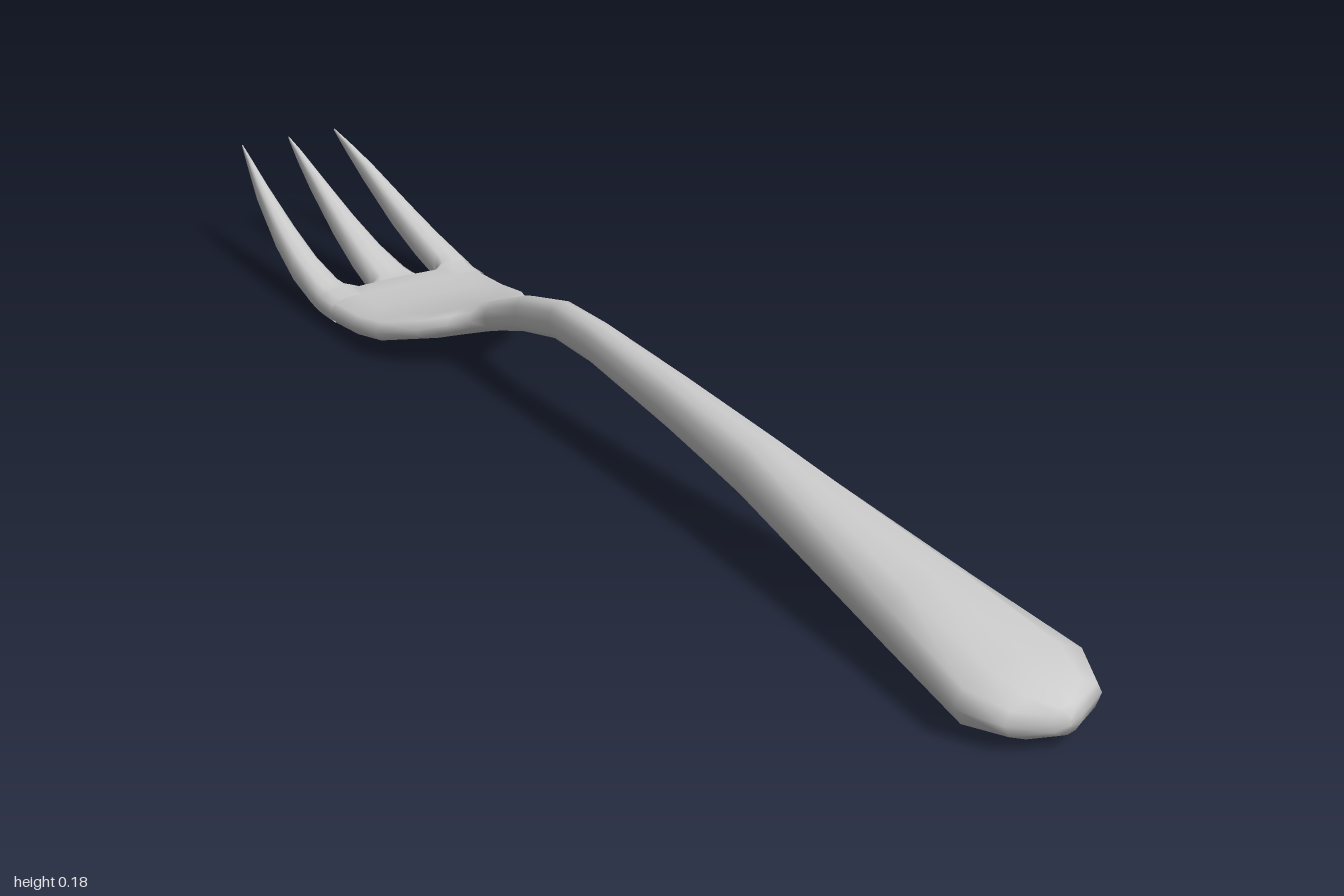
import * as THREE from 'three';

const SIDES = 12;

// Skin a row of superellipse sections running from +z to -z.
// Each section: [z, xCentre, halfWidth, yTop, yBottom, power] (power below 1 is boxier)
function loft(name, sections, material) {
  const pos = [], index = [];
  const pw = (v, p) => Math.sign(v) * Math.pow(Math.abs(v), p);
  for (const [z, x, hw, top, bottom, p = 0.9] of sections) {
    for (let j = 0; j < SIDES; j++) {
      const a = (j / SIDES) * Math.PI * 2;
      pos.push(
        x + hw * pw(Math.cos(a), p),
        (top + bottom) / 2 + ((top - bottom) / 2) * pw(Math.sin(a), p),
        z
      );
    }
  }
  for (let i = 0; i < sections.length - 1; i++) {
    for (let j = 0; j < SIDES; j++) {
      const k = (j + 1) % SIDES;
      const a = i * SIDES + j, b = i * SIDES + k, c = a + SIDES, d = b + SIDES;
      index.push(a, c, b, b, c, d);
    }
  }
  const geo = new THREE.BufferGeometry();
  geo.setAttribute('position', new THREE.Float32BufferAttribute(pos, 3));
  geo.setIndex(index);
  geo.computeVertexNormals();
  const mesh = new THREE.Mesh(geo, material);
  mesh.name = name;
  return mesh;
}

// Tine section from inner and outer x
const tine = (z, x0, x1, top, bottom) => [z, (x0 + x1) / 2, (x1 - x0) / 2, top, bottom, 0.8];

export function createModel() {
  const group = new THREE.Group();
  group.name = 'fork';
  const metal = new THREE.MeshStandardMaterial({ color: 0xcccccc, side: THREE.DoubleSide });

  // Handle, neck and flat head in one continuous skin
  group.add(loft('handleAndHead', [
    [1.0, 0, 0.001, 0.045, 0.035],
    [0.995, 0, 0.022, 0.062, 0.022],
    [0.97, 0, 0.072, 0.073, 0.012],
    [0.915, 0, 0.1, 0.09, 0.003],
    [0.75, 0, 0.077, 0.115, 0.016],
    [0.4, 0, 0.042, 0.155, 0.07],
    [0.2, 0, 0.032, 0.17, 0.098],
    [0.0, 0, 0.025, 0.181, 0.121],
    [-0.1, 0, 0.022, 0.181, 0.122],
    [-0.2, 0, 0.022, 0.156, 0.1],
    [-0.28, 0, 0.027, 0.123, 0.073],
    [-0.31, 0, 0.038, 0.11, 0.062],
    [-0.33, 0, 0.065, 0.101, 0.055, 0.8],
    [-0.36, 0, 0.102, 0.09, 0.045, 0.7],
    [-0.43, 0, 0.135, 0.069, 0.024, 0.6],
    [-0.5, 0, 0.14, 0.058, 0.011, 0.6],
    [-0.57, 0, 0.141, 0.055, 0.005, 0.6],
    [-0.605, 0, 0.139, 0.055, 0.006, 0.6],
    [-0.616, 0, 0.132, 0.048, 0.014, 0.6],
    [-0.62, 0, 0.128, 0.032, 0.03, 0.6],
  ], metal));

  // Centre tine, flared at the root to round the slots
  group.add(loft('centreTine', [
    tine(-0.57, -0.06, 0.06, 0.054, 0.006),
    tine(-0.61, -0.055, 0.055, 0.055, 0.006),
    tine(-0.625, -0.041, 0.041, 0.058, 0.007),
    tine(-0.65, -0.035, 0.035, 0.063, 0.011),
    tine(-0.72, -0.028, 0.028, 0.08, 0.027),
    tine(-0.8, -0.021, 0.021, 0.107, 0.058),
    tine(-0.9, -0.012, 0.012, 0.146, 0.11),
    tine(-0.96, -0.006, 0.006, 0.169, 0.149),
    tine(-1.0, -0.001, 0.001, 0.182, 0.179),
  ], metal));

  // Outer tines, mirrored by swapping the sign of x
  const outer = [
    [-0.57, 0.05, 0.14, 0.054, 0.007],
    [-0.61, 0.055, 0.14, 0.055, 0.007],
    [-0.625, 0.076, 0.14, 0.058, 0.009],
    [-0.65, 0.084, 0.139, 0.063, 0.013],
    [-0.72, 0.087, 0.135, 0.08, 0.028],
    [-0.8, 0.087, 0.126, 0.107, 0.058],
    [-0.9, 0.087, 0.11, 0.146, 0.11],
    [-0.96, 0.086, 0.096, 0.169, 0.149],
    [-1.0, 0.085, 0.087, 0.182, 0.179],
  ];
  group.add(loft('leftTine', outer.map(s => tine(...s)), metal));
  group.add(loft('rightTine', outer.map(([z, a, b, t, u]) => tine(z, -b, -a, t, u)), metal));

  return group;
}
